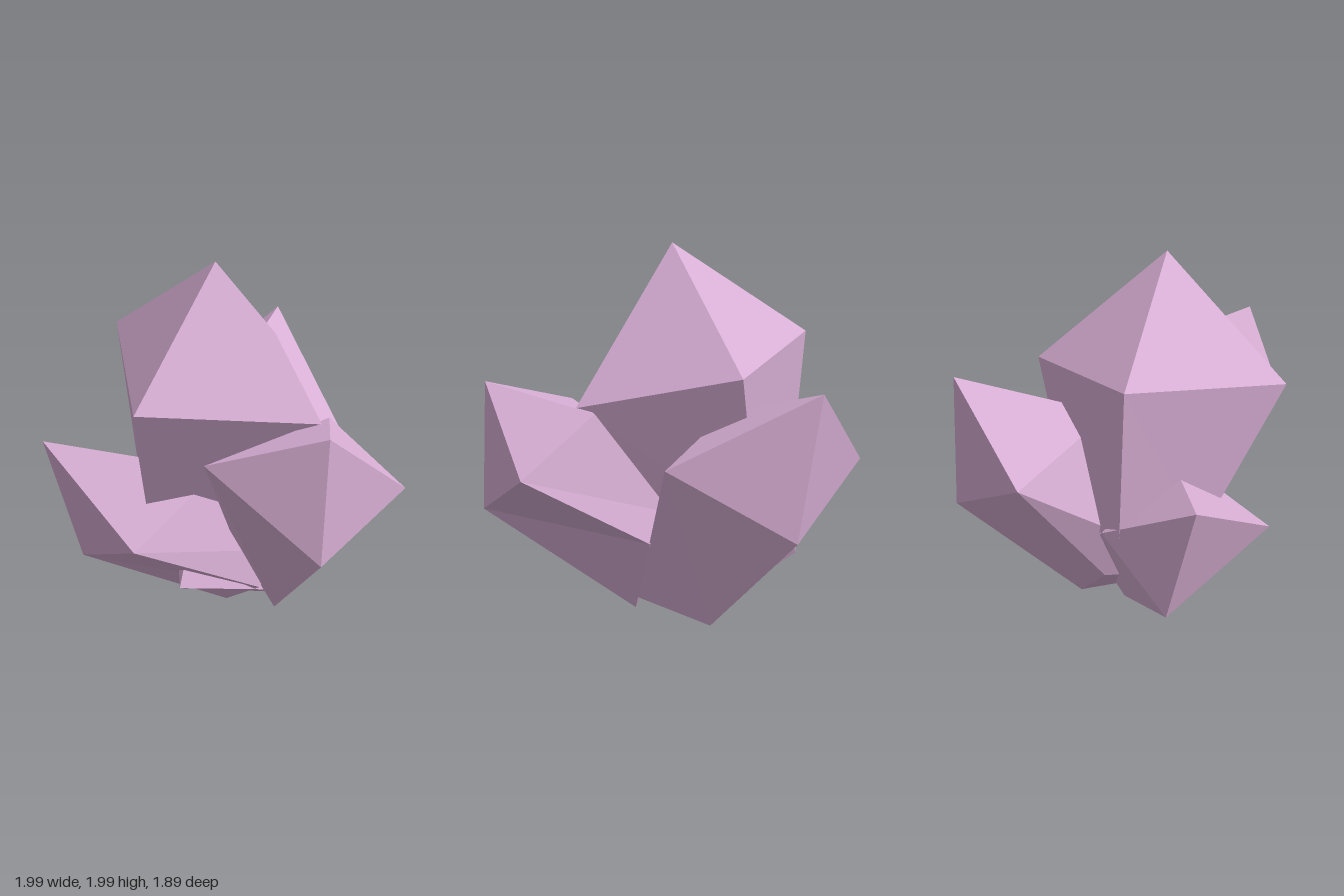
import * as THREE from 'three';

// Four-sided crystal: a pointed tip over a wide shoulder, tapering to a small base.
// Corners run counter-clockwise as seen from the tip.
function crystal(name, material, tip, shoulder, base) {
  const points = [];
  const face = (...corners) => corners.forEach((p) => points.push(...p));
  for (let i = 0; i < 4; i++) {
    const j = (i + 1) % 4;
    face(tip, shoulder[i], shoulder[j]);
    face(shoulder[i], base[i], base[j]);
    face(shoulder[i], base[j], shoulder[j]);
  }
  face(base[0], base[3], base[1]);
  face(base[1], base[3], base[2]);
  const geometry = new THREE.BufferGeometry();
  geometry.setAttribute('position', new THREE.Float32BufferAttribute(points, 3));
  geometry.computeVertexNormals(); // unshared corners keep the facets flat
  const mesh = new THREE.Mesh(geometry, material);
  mesh.name = name;
  return mesh;
}

export function createModel() {
  const group = new THREE.Group();
  group.name = 'crystalCluster';
  const lilac = new THREE.MeshStandardMaterial({ color: 0xd8afd5 });
  lilac.name = 'lilac crystal';

  // Upright centre crystal
  group.add(crystal('mainCrystal', lilac, [-0.05, 1.99, 0.19],
    [[-0.42, 1.29, 0.73], [0.545, 1.17, 0.39], [0.19, 1.37, -0.45], [-0.635, 1.465, -0.26]],
    [[-0.39, 0.47, 0.25], [0.09, 0.41, 0.08], [-0.085, 0.51, -0.34], [-0.5, 0.56, -0.24]]));

  // Leaning to the back
  group.add(crystal('backCrystal', lilac, [0.14, 1.345, -0.945],
    [[-0.41, 0.88, -0.78], [-0.08, 1.11, -0.15], [0.575, 0.91, -0.215], [0.285, 0.545, -0.875]],
    [[-0.22, 0.24, -0.22], [-0.22, 0.2, 0.35], [0.335, 0.14, 0.135], [0.165, 0, -0.215]]));

  // Leaning to the front, on the +x side
  group.add(crystal('frontLeftCrystal', lilac, [0.655, 1.27, 0.905],
    [[-0.03, 1.065, 0.83], [0.61, 0.565, 0.945], [0.995, 0.845, 0.425], [0.567, 1.16, 0.25]],
    [[0.05, 0.4, 0.16], [0.265, 0.065, 0.2], [0.44, 0.465, -0.02], [0.28, 0.61, -0.045]]));

  // Leaning out to the -x side
  group.add(crystal('rightCrystal', lilac, [-0.995, 0.875, 0.02],
    [[-0.79, 0.21, -0.08], [-0.43, 0.485, 0.63], [-0.03, 0.82, 0.2], [-0.39, 0.565, -0.3]],
    [[-0.02, 0.015, -0.04], [0.19, 0.185, 0.24], [0.32, 0.36, 0.12], [0.18, 0.25, -0.16]]));

  return group;
}
